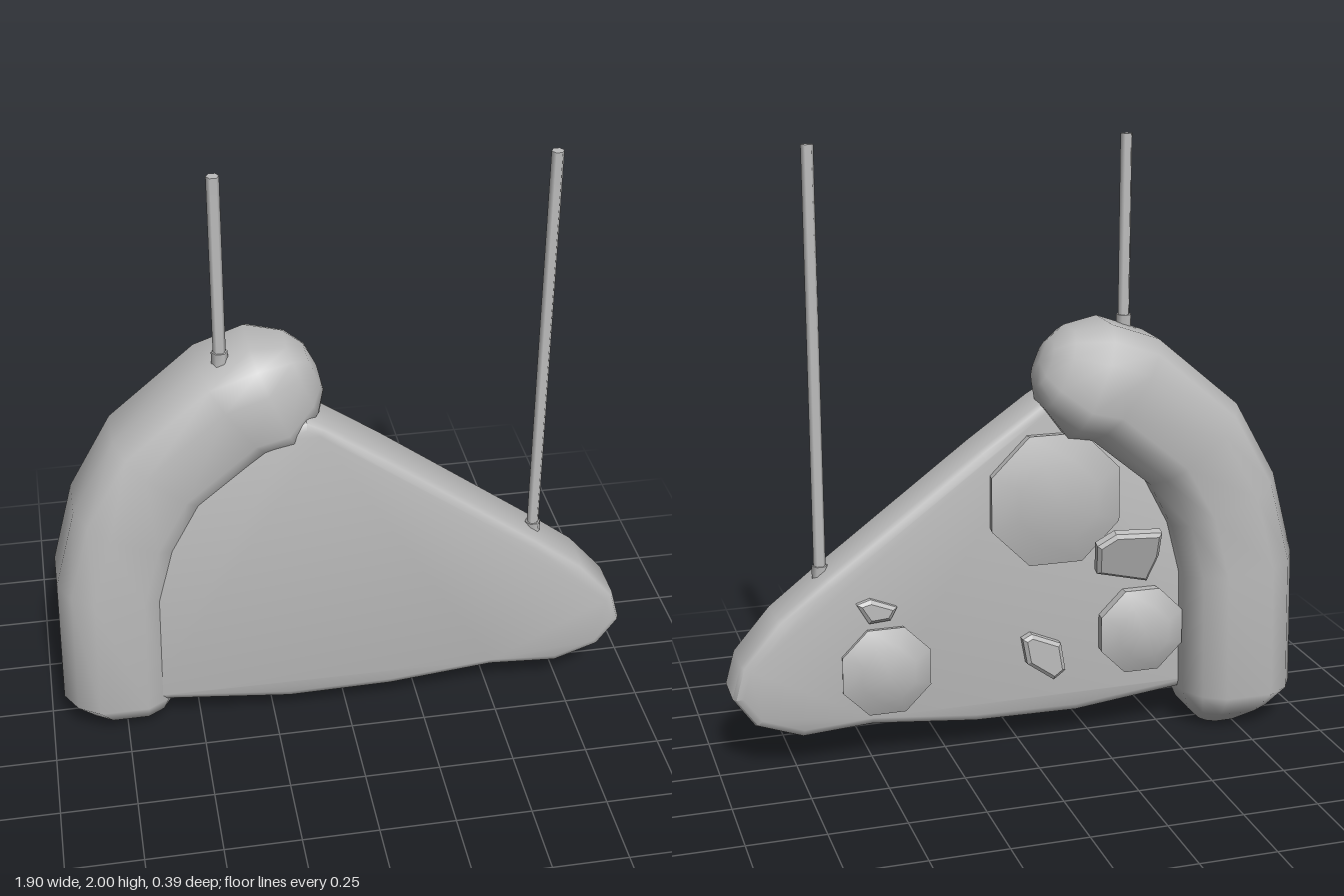
import * as THREE from 'three';
import { toCreasedNormals } from 'three/addons/utils/BufferGeometryUtils.js';

const gray = new THREE.MeshStandardMaterial({ color: 0xbcbcbc });
gray.name = 'plain gray';

function add(parent, name, geometry, x = 0, y = 0, z = 0) {
  const mesh = new THREE.Mesh(geometry, gray);
  mesh.name = name;
  mesh.position.set(x, y, z);
  parent.add(mesh);
  return mesh;
}

function shapeFrom(points) {
  return new THREE.Shape(points.map(([x, y]) => new THREE.Vector2(x, y)));
}

// Curved crust: rounded-square rings swept along an arc, shrinking at both ends
function crustGeometry() {
  const rings = [ // x, y, scale, direction in degrees
    [-0.72, 0.0, 0.38, 90], [-0.74, 0.055, 0.75, 90], [-0.76, 0.13, 1, 90],
    [-0.75, 0.57, 1, 83], [-0.69, 0.8, 1, 67], [-0.58, 1.0, 1, 50],
    [-0.34, 1.2, 1, 35], [-0.22, 1.235, 1, 22],
    [-0.125, 1.275, 0.68, 22], [-0.085, 1.29, 0.38, 22],
  ];
  const quarter = [[0.195, 0.08], [0.152, 0.152], [0.08, 0.195]];
  const section = [];
  for (let q = 0; q < 4; q++) {
    for (const [a, b] of quarter) {
      const c = Math.round(Math.cos(q * Math.PI / 2)), s = Math.round(Math.sin(q * Math.PI / 2));
      section.push([a * c - b * s, a * s + b * c]);
    }
  }
  const n = section.length, pos = [], index = [];
  for (const [x, y, scale, deg] of rings) {
    const t = THREE.MathUtils.degToRad(deg);
    for (const [a, b] of section) {
      pos.push(x - Math.sin(t) * a * scale, y + Math.cos(t) * a * scale, b * scale);
    }
  }
  const last = (rings.length - 1) * n, start = rings.length * n, end = start + 1;
  pos.push(rings[0][0], rings[0][1], 0);
  pos.push(rings.at(-1)[0] + 0.01, rings.at(-1)[1] + 0.004, 0);
  for (let j = 0; j < n; j++) {
    const k = (j + 1) % n;
    for (let i = 0; i < last; i += n) {
      index.push(i + j, i + k, i + n + j, i + k, i + n + k, i + n + j);
    }
    index.push(start, k, j, end, last + j, last + k);
  }
  const g = new THREE.BufferGeometry();
  g.setAttribute('position', new THREE.Float32BufferAttribute(pos, 3));
  g.setIndex(index);
  g.computeVertexNormals();
  return g;
}

// Wedge with softly rounded edges
function sliceGeometry() {
  const outline = shapeFrom([
    [-0.7, 0.13], [-0.6, 0.125], [-0.2, 0.08], [0.15, 0.085], [0.5, 0.12], [0.73, 0.105],
    [0.88, 0.16], [0.95, 0.26], [0.92, 0.37], [0.8, 0.51], [0.64, 0.635], [0.13, 1.015],
    [-0.07, 1.155], [-0.13, 1.19], [-0.2, 1.16], [-0.56, 0.93], [-0.7, 0.58],
  ]);
  const g = new THREE.ExtrudeGeometry(outline, {
    depth: 0.14, bevelThickness: 0.03, bevelSize: 0.03, bevelOffset: -0.03, bevelSegments: 2,
  });
  g.translate(0, 0, -0.005);
  return toCreasedNormals(g, 0.85);
}

// Eight-sided domed disc bulging toward -z
function discGeometry(r, rim, height) {
  const profile = [[r * 0.97, 0], [r, rim], [r * 0.6, rim + (height - rim) * 0.7], [0, height]];
  const g = new THREE.LatheGeometry(profile.map(([x, y]) => new THREE.Vector2(x, y)), 8, Math.PI / 8);
  g.rotateX(-Math.PI / 2);
  return toCreasedNormals(g, 0.7);
}

// Flat irregular chunk facing the back, slightly tilted
function addChunk(parent, points, x, y, z, depth, tilt) {
  const shape = shapeFrom(points);
  const g = new THREE.ExtrudeGeometry(shape, {
    depth: depth - 0.01, bevelThickness: 0.01, bevelSize: 0.012, bevelOffset: -0.012, bevelSegments: 1,
  });
  const mesh = add(parent, 'toppingChunk', toCreasedNormals(g, 0.4), x, y, z);
  mesh.rotation.set(tilt, Math.PI, 0);
}

export function createModel() {
  const model = new THREE.Group();
  model.name = 'hangingSlice';

  add(model, 'crust', crustGeometry());
  add(model, 'slice', sliceGeometry());

  // Round toppings on the back
  const toppings = new THREE.Group();
  toppings.name = 'toppings';
  model.add(toppings);
  const discs = [
    [-0.11, 0.85, 0.235, 0.045, 0.085],
    [0.455, 0.315, 0.158, 0.025, 0.065],
    [-0.414, 0.365, 0.155, 0.045, 0.085],
  ];
  for (const [x, y, r, rim, height] of discs) {
    add(toppings, 'roundTopping', discGeometry(r, rim, height), x, y, -0.03);
  }

  // Irregular toppings
  addChunk(toppings, [[-0.1, -0.05], [0.08, -0.1], [0.11, 0], [0.11, 0.09], [-0.05, 0.1], [-0.11, 0.06]],
    -0.345, 0.645, -0.085, 0.035, -0.3);
  addChunk(toppings, [[-0.062, -0.024], [0.03, -0.09], [0.07, -0.06], [0.054, 0.036], [-0.047, 0.079], [-0.078, 0.063]],
    -0.08, 0.31, -0.035, 0.035, 0);
  addChunk(toppings, [[-0.023, -0.042], [0.047, -0.037], [0.07, 0.005], [-0.016, 0.04], [-0.062, 0.026]],
    0.487, 0.525, -0.035, 0.025, 0);

  // Hanging rods with short sleeves
  for (const [x, base] of [[-0.385, 1.36], [0.642, 0.6]]) {
    const rod = new THREE.CylinderGeometry(0.02, 0.02, 2 - base, 6).rotateY(Math.PI / 2);
    add(model, 'hangingRod', toCreasedNormals(rod, 1.2), x, (2 + base) / 2, 0.07);
    const sleeve = new THREE.CylinderGeometry(0.026, 0.026, 0.075, 6).rotateY(Math.PI / 2);
    add(model, 'rodSleeve', toCreasedNormals(sleeve, 1.2), x, base + 0.018, 0.07);
  }
  return model;
}
